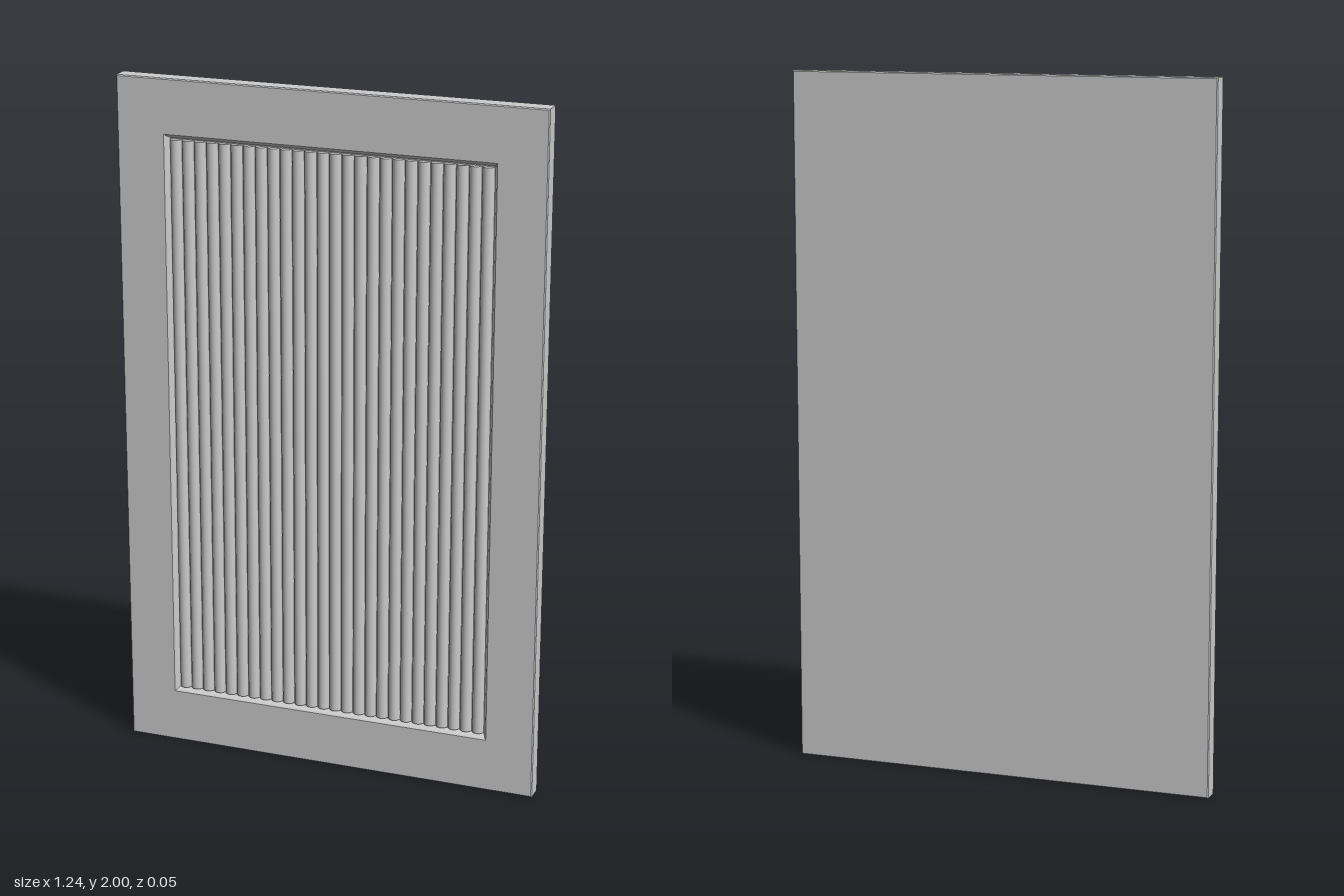
import * as THREE from 'three';

const material = new THREE.MeshStandardMaterial({ color: 0xcccccc });

// Joins rectangular rings [halfWidth, halfHeight, z] into one flat-faced skin
function rectLoft(rings) {
  const corners = [[-1, -1], [1, -1], [1, 1], [-1, 1]];
  const pos = [];
  const point = ([w, h, z], c) => [corners[c % 4][0] * w, corners[c % 4][1] * h, z];
  for (let r = 0; r < rings.length - 1; r++) {
    const [a, b] = [rings[r], rings[r + 1]];
    for (let c = 0; c < 4; c++) {
      if (a[0] > 0) pos.push(...point(a, c), ...point(a, c + 1), ...point(b, c + 1));
      if (b[0] > 0) pos.push(...point(a, c), ...point(b, c + 1), ...point(b, c));
    }
  }
  const geometry = new THREE.BufferGeometry();
  geometry.setAttribute('position', new THREE.Float32BufferAttribute(pos, 3));
  geometry.computeVertexNormals();
  return geometry;
}

export function createModel() {
  const model = new THREE.Group();
  model.name = 'reededDoorPanel';

  const W = 0.622, H = 1, D = 0.027, edge = 0.003;
  const holeW = 0.482, holeH = 0.843, floorZ = 0.008;

  // Door slab: back, eased edges, front face, sloped lip and recess floor
  const slab = new THREE.Mesh(rectLoft([
    [0, 0, -D],
    [W - edge, H - edge, -D],
    [W, H, -D + edge],
    [W, H, D - edge],
    [W - edge, H - edge, D],
    [holeW, holeH, D],
    [holeW - 0.004, holeH - 0.004, D - 0.004],
    [holeW - 0.012, holeH - 0.012, floorZ],
    [0, 0, floorZ],
  ]), material);
  slab.name = 'doorSlab';
  slab.position.y = H;
  model.add(slab);

  // Half-round reeds standing side by side in the recess
  const count = 26, pitch = 0.0362, radius = 0.017, length = 1.656;
  const reedGeometry = new THREE.CylinderGeometry(
    radius, radius, length, 12, 1, false, -Math.PI / 2, Math.PI);
  const reeds = new THREE.Group();
  reeds.name = 'reeds';
  for (let i = 0; i < count; i++) {
    const reed = new THREE.Mesh(reedGeometry, material);
    reed.name = 'reed';
    reed.position.set((i - (count - 1) / 2) * pitch, H, floorZ);
    reeds.add(reed);
  }
  model.add(reeds);

  return model;
}
